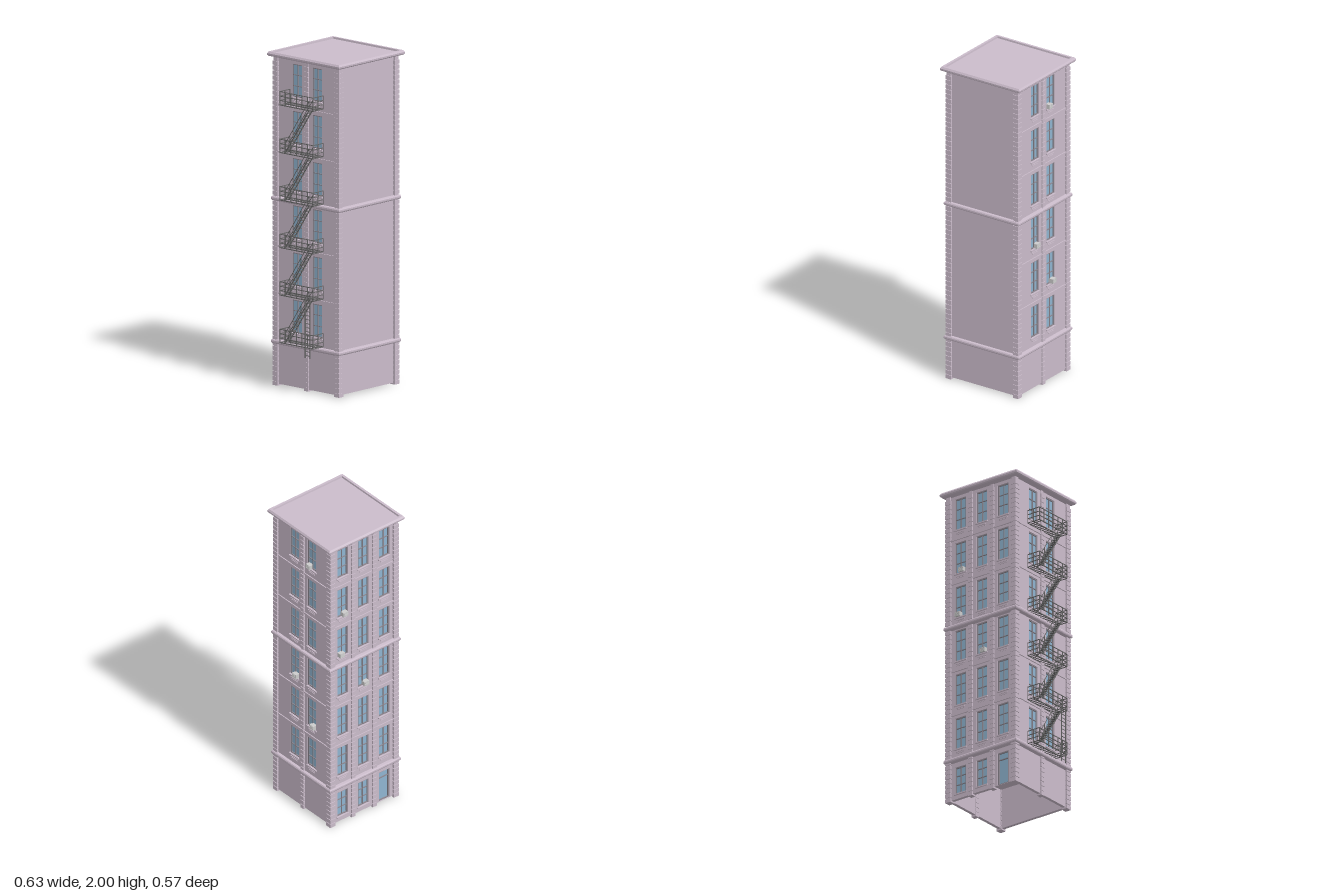
import * as THREE from 'three';
import { mergeGeometries } from 'three/addons/utils/BufferGeometryUtils.js';

const mat = (color) => new THREE.MeshStandardMaterial({ color, flatShading: true });
const stone = mat(0xcbbccb), glass = mat(0x8fb4d0), frame = mat(0x8c8790);
const iron = mat(0x666666), grey = mat(0xcccccc);

const HALF = 0.25;            // wall plane distance from the building axis
const FLOOR = 0.2828;         // storey height
const SILL = 0.334;           // sill height of the first upper storey
const WIN_W = 0.08, WIN_H = 0.198;

// Box from centre and size
function box(x, y, z, w, h, d) {
  return new THREE.BoxGeometry(w, h, d).translate(x, y, z);
}

// Square bar between two points
function bar(a, b, t = 0.004) {
  const p = new THREE.Vector3(...a), q = new THREE.Vector3(...b);
  const o = new THREE.Object3D();
  o.position.copy(p).lerp(q, 0.5);
  o.lookAt(q);
  o.updateMatrix();
  return new THREE.BoxGeometry(t, t, p.distanceTo(q)).applyMatrix4(o.matrix);
}

function merged(name, geos, material) {
  const mesh = new THREE.Mesh(mergeGeometries(geos), material);
  mesh.name = name;
  return mesh;
}

// Stack of stone blocks around a slimmer core
function blockStack(x, z, w, d) {
  const geos = [box(x, 0.985, z, w - 0.008, 1.97, d - 0.008)];
  const pitch = 0.03;
  for (let y = 0; y < 1.95; y += pitch) geos.push(box(x, y + 0.012, z, w, 0.024, d));
  return geos;
}

// Square moulding swept around the building
function moulding(name, profile) {
  const pts = profile.map(([r, y]) => new THREE.Vector2(r * Math.SQRT2, y));
  const mesh = new THREE.Mesh(new THREE.LatheGeometry(pts, 4).rotateY(Math.PI / 4), stone);
  mesh.name = name;
  return mesh;
}

// One wall facing +z: openings, glazing, sills, floor strips, pilasters
function facade(name, { columns = [], pilasters = [], extra = [], coolers = [] }) {
  const g = new THREE.Group();
  g.name = name;
  const openings = [...extra];
  for (const u of columns)
    for (let i = 0; i < 6; i++) openings.push({ u, y: SILL + i * FLOOR, h: WIN_H });

  const wall = new THREE.Shape();
  wall.moveTo(-HALF, 0.01).lineTo(HALF, 0.01).lineTo(HALF, 1.975).lineTo(-HALF, 1.975).closePath();
  const panes = [], frames = [], trim = [];
  for (const { u, y, h, door } of openings) {
    const hw = WIN_W / 2, zf = HALF - 0.009;
    const hole = new THREE.Path();
    hole.moveTo(u - hw, y).lineTo(u - hw, y + h).lineTo(u + hw, y + h).lineTo(u + hw, y).closePath();
    wall.holes.push(hole);
    panes.push(box(u, y + h / 2, HALF - 0.014, WIN_W, h, 0.004));
    for (const s of [-1, 1]) {
      frames.push(box(u + s * (hw - 0.003), y + h / 2, zf, 0.006, h, 0.008));
      frames.push(box(u, y + h / 2 + s * (h / 2 - 0.003), zf, WIN_W, 0.006, 0.008));
    }
    if (door) {
      frames.push(box(u, y + h * 0.78, zf, WIN_W, 0.005, 0.007));
      continue;
    }
    frames.push(box(u, y + h / 2, zf, 0.005, h, 0.007));
    for (const f of [1 / 3, 2 / 3]) frames.push(box(u, y + h * f, zf, WIN_W, 0.004, 0.006));
    trim.push(box(u, y - 0.005, HALF + 0.002, WIN_W + 0.01, 0.008, 0.01));
    if (y > 0.3) {
      trim.push(box(u, y - 0.02, HALF, 0.062, 0.005, 0.008));
      trim.push(box(u, y - 0.03, HALF, 0.054, 0.004, 0.006));
    }
  }
  const wallGeo = new THREE.ExtrudeGeometry(wall, { depth: 0.02, bevelEnabled: false });
  const wallMesh = new THREE.Mesh(wallGeo.translate(0, 0, HALF - 0.02), stone);
  wallMesh.name = 'wall';
  g.add(wallMesh);
  if (!columns.length) return g;

  for (const i of [1, 2, 4, 5]) trim.push(box(0, SILL + i * FLOOR - 0.062, HALF, 0.46, 0.01, 0.012));
  g.add(merged('windowGlass', panes, glass));
  g.add(merged('windowFrames', frames, frame));
  g.add(merged('sillsAndStrips', trim, stone));
  g.add(merged('pilasters', pilasters.flatMap((u) => blockStack(u, HALF - 0.007, 0.03, 0.032)), stone));

  // Window air conditioners with a front grille
  const units = coolers.flatMap(([u, i]) => {
    const y = SILL + i * FLOOR + 0.014;
    const parts = [box(u, y, HALF, 0.036, 0.028, 0.034)];
    for (const k of [-1, 0, 1]) parts.push(box(u, y + k * 0.008, HALF + 0.018, 0.03, 0.003, 0.003));
    return parts;
  });
  if (units.length) g.add(merged('airConditioners', units, grey));
  return g;
}

// Platforms, railings, stair flights and drop ladder on the -x wall
function fireEscape() {
  const g = new THREE.Group();
  g.name = 'fireEscape';
  const X0 = -0.31, X1 = -0.222, XI = -0.266, Z0 = -0.135, Z1 = 0.128, RISE = 0.285;
  const deck = [], rails = [], stairs = [], ladder = [];
  for (let i = 0; i < 6; i++) {
    const y = RISE * (i + 1);
    // Deck frame and slats, leaving a stair opening on the outer side
    for (const x of [X0, XI, X1]) deck.push(bar([x, y, Z0], [x, y, Z1], 0.005));
    for (let k = 0; k <= 12; k++) {
      const z = Z0 + ((Z1 - Z0) * k) / 12;
      deck.push(bar([Math.abs(z) > 0.095 ? X0 : XI, y, z], [X1, y, z], 0.004));
    }
    // Railing on three sides
    for (const h of [0.027, 0.053, 0.08]) {
      rails.push(bar([X0, y + h, Z0], [X0, y + h, Z1]));
      for (const z of [Z0, Z1]) rails.push(bar([X0, y + h, z], [X1, y + h, z]));
    }
    for (let k = 0; k <= 6; k++) {
      const z = Z0 + ((Z1 - Z0) * k) / 6;
      rails.push(bar([X0, y, z], [X0, y + 0.08, z]));
    }
    for (const z of [Z0, Z1])
      for (const x of [XI, X1]) rails.push(bar([x, y, z], [x, y + 0.08, z]));
    // Flight rising to the next platform
    if (i === 5) continue;
    for (const x of [-0.304, -0.271]) {
      stairs.push(bar([x, y, -0.1], [x, y + RISE, 0.09], 0.005));
      stairs.push(bar([x, y + 0.055, -0.1], [x, y + RISE + 0.055, 0.09], 0.003));
      for (const f of [0, 0.33, 0.67, 1]) {
        const yy = y + RISE * f, z = -0.1 + 0.19 * f;
        stairs.push(bar([x, yy, z], [x, yy + 0.055, z], 0.003));
      }
    }
    for (let k = 1; k < 14; k++)
      stairs.push(box(-0.2875, y + (RISE * k) / 14, -0.1 + (0.19 * k) / 14, 0.033, 0.003, 0.014));
  }
  for (const z of [0.07, 0.108]) ladder.push(bar([-0.315, 0.225, z], [-0.315, 0.58, z], 0.005));
  for (let y = 0.24; y < 0.58; y += 0.024) ladder.push(bar([-0.315, y, 0.07], [-0.315, y, 0.108], 0.003));
  g.add(merged('platforms', deck, iron), merged('railings', rails, iron));
  g.add(merged('stairFlights', stairs, iron), merged('dropLadder', ladder, iron));
  return g;
}

export function createModel() {
  const model = new THREE.Group();
  model.name = 'apartmentTower';
  const tower = new THREE.Group();
  tower.name = 'tower';
  tower.position.x = 0.028;

  // Four walls
  const side = { columns: [-0.08, 0.08], pilasters: [0] };
  const front = facade('frontWall', {});
  const right = facade('windowSideWall', { ...side, coolers: [[0.062, 5], [-0.064, 2], [0.095, 1]] });
  right.rotation.y = Math.PI / 2;
  const left = facade('fireEscapeWall', side);
  left.rotation.y = -Math.PI / 2;
  const back = facade('streetWall', {
    columns: [-0.158, 0, 0.158],
    pilasters: [-0.08, 0.08],
    extra: [
      { u: -0.158, y: 0.045, h: 0.17 },
      { u: 0, y: 0.045, h: 0.17 },
      { u: 0.158, y: 0.012, h: 0.205, door: true },
    ],
    coolers: [[-0.145, 4], [-0.17, 3], [0.015, 2]],
  });
  back.rotation.y = Math.PI;
  tower.add(front, right, left, back);

  // Corner quoins
  const quoins = [];
  for (const x of [-1, 1])
    for (const z of [-1, 1]) quoins.push(...blockStack(x * 0.242, z * 0.244, 0.038, 0.038));
  tower.add(merged('cornerQuoins', quoins, stone));

  // Belt courses, cornice, roof and ground-floor ceiling
  for (const [name, y] of [['lowerBelt', 0.25], ['middleBelt', 1.108]])
    tower.add(moulding(name, [[0.245, y - 0.006], [0.261, y], [0.267, y + 0.003], [0.27, y + 0.009],
      [0.27, y + 0.018], [0.266, y + 0.025], [0.245, y + 0.027]]));
  tower.add(moulding('cornice', [[0.245, 1.964], [0.264, 1.97], [0.279, 1.973], [0.285, 1.979],
    [0.286, 1.989], [0.279, 2], [0.264, 2], [0.262, 1.985]]));
  tower.add(merged('roof', [box(0, 1.985, 0, 0.53, 0.008, 0.53)], stone));
  tower.add(merged('groundFloorCeiling', [box(0, 0.262, 0, 0.48, 0.006, 0.48)], stone));

  model.add(tower, fireEscape());
  return model;
}
